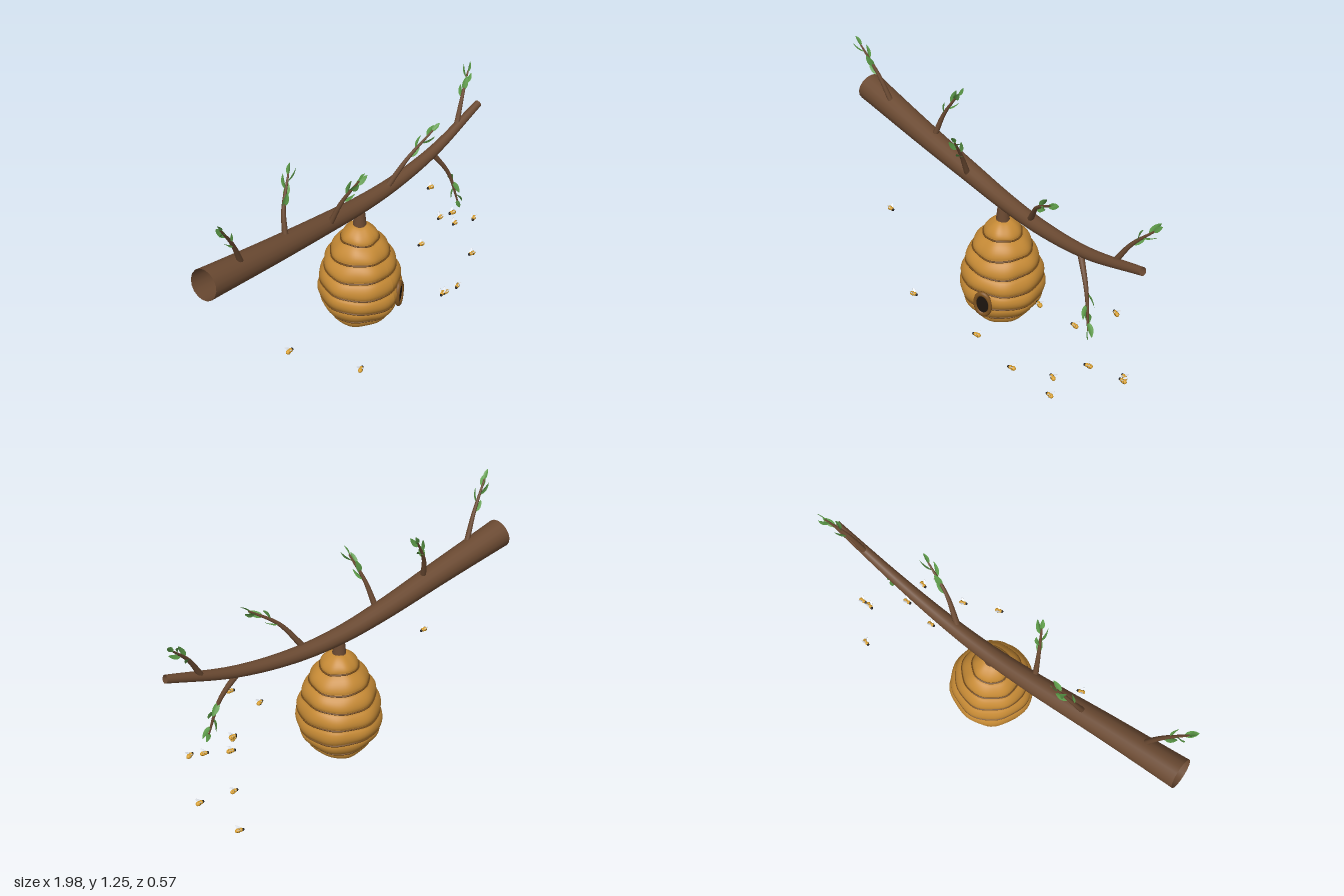
import * as THREE from 'three';

const V = (x, y, z) => new THREE.Vector3(x, y, z);
const mat = (color) => new THREE.MeshStandardMaterial({ color, side: THREE.DoubleSide });
const bark = mat(0x6b4a32), comb = mat(0xc68a35), groove = mat(0x6e4718);
const rimMat = mat(0x7d5220), dark = mat(0x1d150f), green = mat(0x5c9a48);
const yellow = mat(0xd9a030), black = mat(0x1c1a1a), wingMat = mat(0xe4e8ee);

function add(parent, name, geometry, material) {
  const m = new THREE.Mesh(geometry, material);
  m.name = name;
  parent.add(m);
  return m;
}

// Tube whose radius follows radiusAt(t)
function taperedTube(curve, segments, sides, radiusAt) {
  const g = new THREE.TubeGeometry(curve, segments, 1, sides, false);
  const p = g.attributes.position, v = V(0, 0, 0);
  for (let i = 0; i < p.count; i++) {
    const t = Math.floor(i / (sides + 1)) / segments;
    const c = curve.getPointAt(t);
    v.fromBufferAttribute(p, i).sub(c).multiplyScalar(radiusAt(t)).add(c);
    p.setXYZ(i, v.x, v.y, v.z);
  }
  return g;
}

// Gentle hand-made unevenness shared by the hive and its grooves
function wobble(g) {
  const p = g.attributes.position;
  for (let i = 0; i < p.count; i++) {
    const x = p.getX(i), y = p.getY(i), z = p.getZ(i), a = Math.atan2(x, z);
    const s = 1 + 0.012 * Math.sin(5 * a + y * 9) + 0.01 * Math.sin(8 * a - y * 14);
    p.setXYZ(i, x * s, y + 0.004 * Math.sin(3 * a + y * 20) * Math.min(1, Math.hypot(x, z) * 10), z * s);
  }
  g.computeVertexNormals();
  return g;
}

// Pointed leaf along +y, folded on its midrib and drooping at the tip
function leafGeometry() {
  const L = 0.085, g = new THREE.PlaneGeometry(2, L, 4, 8);
  g.translate(0, L / 2, 0);
  const p = g.attributes.position;
  for (let i = 0; i < p.count; i++) {
    const t = p.getY(i) / L, w = 0.017 * Math.pow(Math.sin(Math.PI * Math.pow(Math.max(t, 0), 0.85)), 0.8) || 0;
    const u = p.getX(i);
    p.setXYZ(i, u * w, p.getY(i), Math.abs(u) * w * 0.35 - 0.012 * t * t);
  }
  g.computeVertexNormals();
  return g;
}

function makeTwig(points, leaf, index) {
  const twig = new THREE.Group();
  twig.name = 'twig';
  const curve = new THREE.CatmullRomCurve3(points.map((p) => V(...p)));
  add(twig, 'twigStem', taperedTube(curve, 16, 8, (t) => 0.015 - 0.011 * t), bark);
  const spots = [0.5, 0.64, 0.76, 0.88, 0.98];
  spots.forEach((t, i) => {
    const tan = curve.getTangentAt(t);
    const side = V(0, 0, 1).cross(tan).normalize();
    side.applyAxisAngle(tan, i * 2.4 + index * 1.1);
    const dir = tan.clone().addScaledVector(side, i === spots.length - 1 ? 0.15 : 0.6).normalize();
    const across = tan.clone().cross(side).normalize();
    const m = add(twig, 'leaf', leaf, green);
    m.quaternion.setFromRotationMatrix(
      new THREE.Matrix4().makeBasis(across, dir, across.clone().cross(dir)));
    m.position.copy(curve.getPointAt(t));
    m.scale.setScalar(i === spots.length - 1 ? 0.65 : 0.85);
  });
  return twig;
}

// Small bee with its head toward +x
function makeBee() {
  const bee = new THREE.Group();
  bee.name = 'bee';
  const ball = new THREE.SphereGeometry(1, 12, 8);
  const part = (name, m, x, y, z, sx, sy, sz) => {
    const o = add(bee, name, ball, m);
    o.position.set(x, y, z);
    o.scale.set(sx, sy, sz);
    return o;
  };
  part('abdomen', yellow, -0.007, 0, 0, 0.015, 0.011, 0.011);
  part('thorax', yellow, 0.007, 0.001, 0, 0.009, 0.0095, 0.0095);
  part('head', black, 0.016, 0, 0, 0.007, 0.007, 0.007);
  for (const [x, r] of [[-0.003, 0.0108], [-0.012, 0.0104]])
    part('stripe', black, x, 0, 0, 0.0022, r, r);
  for (const s of [-1, 1]) {
    const w = part('wing', wingMat, -0.004, 0.012, s * 0.011, 0.014, 0.0012, 0.006);
    w.rotation.set(-s * 0.4, s * 0.6, -0.3);
  }
  return bee;
}

export function createModel() {
  const model = new THREE.Group();

  // Main branch, open at both ends
  const path = new THREE.CatmullRomCurve3([
    V(-0.99, 0.928, -0.097), V(-0.6, 0.862, -0.092), V(-0.2, 0.797, -0.092), V(0.05, 0.768, -0.085),
    V(0.3, 0.767, -0.07), V(0.6, 0.81, -0.048), V(0.95, 0.922, -0.026)]);
  add(model, 'branch', taperedTube(path, 60, 16, (t) => 0.072 - 0.053 * Math.pow(t, 0.9)), bark);

  // Leafy twigs
  const leaf = leafGeometry();
  [
    [[-0.78, 0.92, -0.075], [-0.85, 1.07, -0.05], [-0.945, 1.21, -0.02]],
    [[-0.48, 0.87, -0.09], [-0.445, 1.0, -0.125], [-0.37, 1.13, -0.155]],
    [[-0.2, 0.82, -0.06], [-0.18, 0.94, -0.01], [-0.145, 1.06, 0.06]],
    [[0.24, 0.79, -0.06], [0.33, 0.92, -0.01], [0.46, 1.02, 0.035]],
    [[0.78, 0.87, -0.04], [0.85, 0.99, -0.06], [0.94, 1.09, -0.09]],
    [[0.58, 0.8, -0.04], [0.665, 0.66, 0.0], [0.715, 0.48, 0.028]],
  ].forEach((pts, i) => model.add(makeTwig(pts, leaf, i)));

  // Hive: stacked bulging bands between grooves
  const hive = new THREE.Group();
  hive.name = 'hive';
  hive.position.set(0.035, 0, -0.077);
  model.add(hive);
  const rings = [[0.19, 0.148], [0.27, 0.188], [0.355, 0.19], [0.44, 0.17], [0.52, 0.138], [0.6, 0.088], [0.67, 0.034]];
  const profile = [];
  for (let i = 0; i <= 6; i++) {
    const a = (i / 6) * Math.PI / 2;
    profile.push(new THREE.Vector2(0.152 * Math.pow(Math.sin(a), 0.9), 0.19 - 0.078 * Math.cos(a)));
  }
  for (let i = 0; i < rings.length - 1; i++) {
    const [y0, r0] = rings[i], [y1, r1] = rings[i + 1];
    for (let k = 0; k <= 8; k++) {
      if (k === 0 && i > 0) continue;
      const t = k / 8, bulge = 0.017 * Math.pow(Math.sin(Math.PI * t), 0.7) || 0;
      profile.push(new THREE.Vector2(r0 + (r1 - r0) * t + bulge, y0 + (y1 - y0) * t));
    }
  }
  profile.push(new THREE.Vector2(0, 0.675));
  add(hive, 'hiveBody', wobble(new THREE.LatheGeometry(profile, 64)), comb);
  for (const [y, r] of rings.slice(0, -1)) {
    const g = new THREE.TorusGeometry(r + 0.003, 0.0045, 6, 64).rotateX(Math.PI / 2).translate(0, y, 0);
    add(hive, 'groove', wobble(g), groove);
  }

  // Stem holding the hive to the branch
  const stem = add(hive, 'hiveStem', new THREE.CylinderGeometry(0.022, 0.034, 0.12, 16), bark);
  stem.position.y = 0.715;

  // Oval entrance with a raised rim
  const entrance = new THREE.Group();
  entrance.name = 'entrance';
  entrance.position.set(0.071, 0.3, 0.187);
  entrance.rotation.y = 0.36;
  hive.add(entrance);
  const rim = add(entrance, 'entranceRim', new THREE.TorusGeometry(0.04, 0.009, 10, 36), rimMat);
  rim.scale.set(1, 1.48, 1.3);
  const hole = add(entrance, 'entranceHole', new THREE.CylinderGeometry(0.04, 0.04, 0.04, 36).rotateX(Math.PI / 2), dark);
  hole.scale.y = 1.48;
  hole.position.z = -0.016;

  // Bees heading toward the hive
  [
    [-0.655, 0.425, 0.06], [-0.315, 0.152, 0.197], [0.51, 0.562, 0.133], [0.605, 0.425, 0],
    [0.785, 0.358, 0.088], [0.65, 0.247, 0.172], [0.855, 0.22, -0.07], [0.44, 0.193, 0.227],
    [0.745, 0.084, -0.207], [0.553, 0.016, 0.088], [0.243, 0.288, 0.268], [0.72, 0.49, -0.142],
  ].forEach(([x, y, z], i) => {
    const bee = makeBee();
    bee.position.set(x, y, z);
    bee.rotation.y = (x > 0 ? Math.PI : 0) + 0.35 * Math.sin(i * 2.1);
    model.add(bee);
  });

  return model;
}
